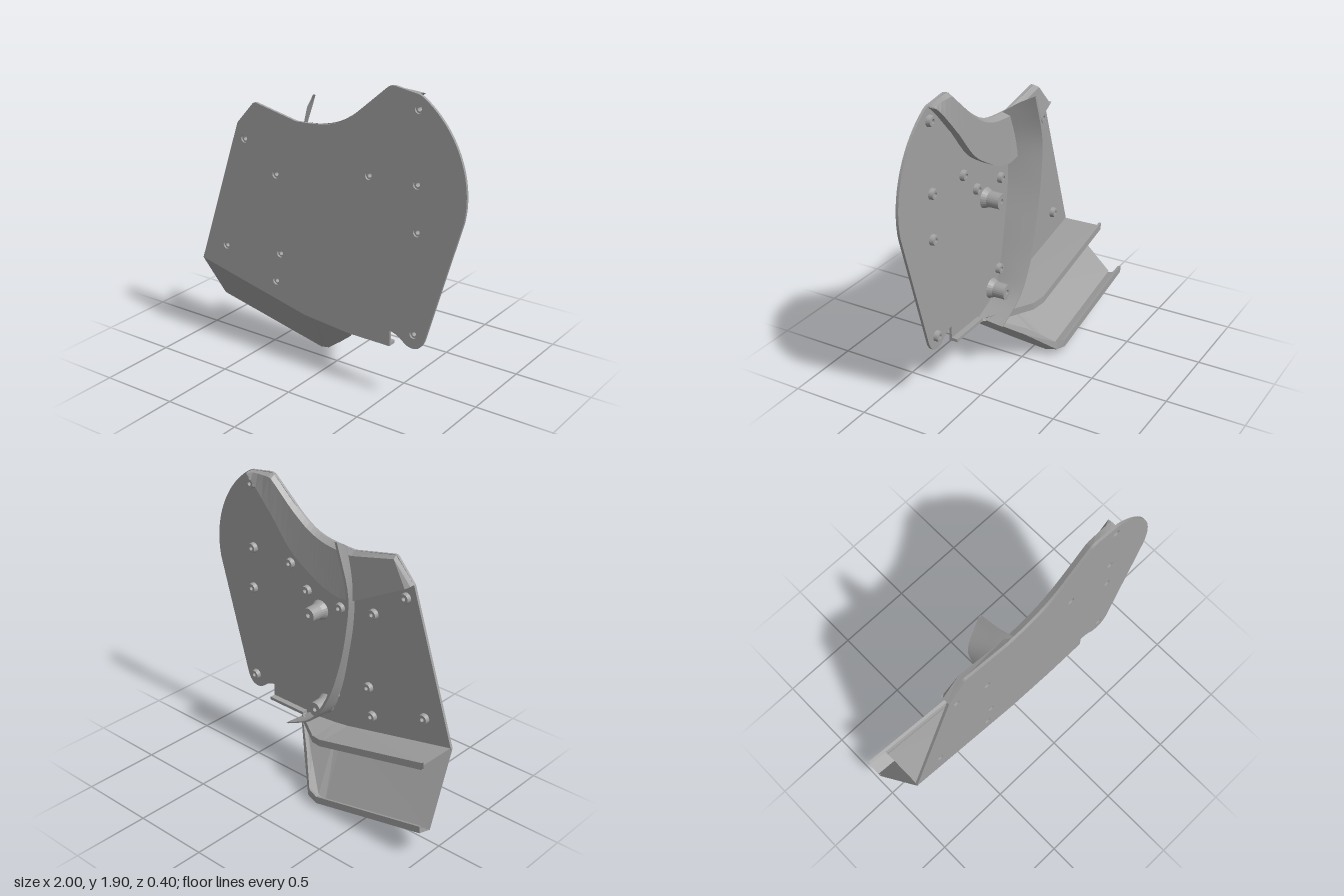
import * as THREE from 'three';

const metal = new THREE.MeshStandardMaterial({ color: 0xa0a0a0, side: THREE.DoubleSide });
metal.name = 'plain grey';

// Sheet lofted through rows of equal length; smooth shares its normals
function sheet(name, rows, smooth = false) {
  const n = rows[0].length, index = [];
  for (let r = 0; r < rows.length - 1; r++) {
    for (let i = 0; i < n - 1; i++) {
      const a = r * n + i, b = a + n;
      index.push(a, b, a + 1, a + 1, b, b + 1);
    }
  }
  let geo = new THREE.BufferGeometry();
  geo.setAttribute('position', new THREE.Float32BufferAttribute(rows.flat(2), 3));
  geo.setIndex(index);
  if (!smooth) geo = geo.toNonIndexed();
  geo.computeVertexNormals();
  const mesh = new THREE.Mesh(geo, metal);
  mesh.name = name;
  return mesh;
}

// Smooth row of points through a few control points
const curveRow = (pts, n = 28) =>
  new THREE.CatmullRomCurve3(pts.map(p => new THREE.Vector3(...p)), false, 'centripetal')
    .getPoints(n).map(v => v.toArray());

const shifted = (row, dx, dy, dz) => row.map(p => [p[0] + dx, p[1] + dy, p[2] + dz]);

// Hollow turned part standing along z
function turned(name, profile, x, y) {
  const geo = new THREE.LatheGeometry(profile.map(p => new THREE.Vector2(...p)), 24);
  geo.rotateX(Math.PI / 2);
  const mesh = new THREE.Mesh(geo.toNonIndexed(), metal);
  mesh.geometry.computeVertexNormals();
  mesh.position.set(x, y, 0);
  mesh.name = name;
  return mesh;
}

const screws = [
  [-0.545, 1.415], [-0.31, 1.235], [-0.715, 0.685], [-0.285, 0.73], [-0.32, 0.54],
  [0.36, 1.36], [0.68, 1.8], [0.68, 1.37], [0.687, 1.09], [0.68, 0.46],
];

function sidePlate() {
  const s = new THREE.Shape();
  s.moveTo(-0.915, 0.555);
  s.lineTo(-0.595, 1.51);
  s.lineTo(-0.475, 1.645);
  s.quadraticCurveTo(-0.46, 1.66, -0.44, 1.653);
  s.lineTo(-0.15, 1.592);
  s.lineTo(-0.08, 1.595);
  s.bezierCurveTo(0.1, 1.605, 0.16, 1.625, 0.28, 1.72);
  s.lineTo(0.48, 1.893);
  s.quadraticCurveTo(0.5, 1.91, 0.53, 1.907);
  s.lineTo(0.68, 1.885);
  s.quadraticCurveTo(0.7, 1.88, 0.72, 1.865);
  s.bezierCurveTo(0.92, 1.73, 1.035, 1.47, 0.985, 1.22);
  s.lineTo(0.76, 0.45);
  s.quadraticCurveTo(0.745, 0.4, 0.71, 0.378);
  s.quadraticCurveTo(0.66, 0.36, 0.62, 0.39);
  s.quadraticCurveTo(0.57, 0.435, 0.52, 0.44);
  s.lineTo(0.52, 0.34);
  s.lineTo(0.23, 0.34);
  s.lineTo(-0.1, 0.37);
  s.closePath();
  for (const [x, y] of screws) s.holes.push(new THREE.Path().absarc(x, y, 0.024, 0, Math.PI * 2, true));
  const geo = new THREE.ExtrudeGeometry(s, { depth: 0.017, bevelEnabled: false, curveSegments: 20 });
  geo.translate(0, 0, 0.183);
  const mesh = new THREE.Mesh(geo, metal);
  mesh.name = 'sidePlate';
  return mesh;
}

export function createModel() {
  const g = new THREE.Group();
  g.name = 'panel';
  g.add(sidePlate());

  // Screw bosses, with two blind ones that do not reach the front
  const boss = [[0.013, 0.188], [0.024, 0.188], [0.024, 0.183], [0.034, 0.183], [0.03, 0.155], [0.013, 0.155], [0.013, 0.188]];
  const blind = [[0, 0.183], [0.034, 0.183], [0.03, 0.155], [0.013, 0.155], [0.013, 0.183]];
  for (const [x, y] of screws) g.add(turned('screwBoss', boss, x, y));
  for (const [x, y] of [[0.22, 1.22], [-0.05, 1.19], [-0.02, 0.585]]) g.add(turned('blindBoss', blind, x, y));

  // Tall mounting posts
  const post = [[0, 0.183], [0.065, 0.183], [0.05, 0.15], [0.048, 0.07], [0.015, 0.07], [0.015, 0.11], [0, 0.11]];
  g.add(turned('post', post, 0.115, 1.12), turned('post', post, 0.06, 0.48));

  // Sloping rim behind the upper edge, with its step down to the plate
  const rimTop = [
    ...curveRow([[0.68, 1.883, 0.184], [0.6, 1.895, 0.184], [0.51, 1.905, 0.184]], 4),
    ...curveRow([[0.49, 1.9, 0.184], [0.3, 1.737, 0.184], [0.17, 1.65, 0.184], [0.05, 1.61, 0.184], [-0.08, 1.595, 0.184]], 16),
    [-0.15, 1.592, 0.184], [-0.46, 1.655, 0.184], [-0.595, 1.51, 0.184],
  ];
  const rimLow = [
    ...curveRow([[0.68, 1.875, 0.13], [0.6, 1.8, 0.13], [0.49, 1.68, 0.13]], 4),
    ...curveRow([[0.47, 1.66, 0.13], [0.31, 1.47, 0.13], [0.16, 1.37, 0.13], [0.04, 1.31, 0.13], [-0.08, 1.28, 0.13]], 16),
    [-0.2, 1.3, 0.13], [-0.57, 1.495, 0.13], [-0.595, 1.51, 0.13],
  ];
  const rimFoot = rimLow.map(([x, y]) => [x, y, 0.184]);
  // narrow upper ledge of the rim
  const rimEdge = rimTop.map((p, i) => [
    p[0] + (rimLow[i][0] - p[0]) * 0.08, p[1] + (rimLow[i][1] - p[1]) * 0.08, 0.15]);
  g.add(sheet('upperRim', [rimTop, rimEdge, rimLow, rimFoot]));

  // Curved blade standing out from the back of the plate
  const bladeRoot = curveRow([[-0.1, 1.6, 0.184], [-0.15, 1.4, 0.184], [-0.155, 1.15, 0.184], [-0.12, 0.9, 0.184],
    [-0.06, 0.62, 0.184], [0.02, 0.44, 0.184], [0.2, 0.35, 0.184]]);
  const bladeMid = curveRow([[-0.145, 1.655, 0.1], [-0.2, 1.4, 0.1], [-0.2, 1.15, 0.1], [-0.16, 0.9, 0.1],
    [-0.08, 0.62, 0.1], [0.02, 0.445, 0.1], [0.21, 0.345, 0.1]]);
  const bladeTip = curveRow([[-0.175, 1.705, 0], [-0.265, 1.4, 0], [-0.25, 1.15, 0], [-0.2, 0.9, 0],
    [-0.1, 0.62, 0], [0.02, 0.45, 0], [0.22, 0.345, 0]]);
  g.add(sheet('blade', [bladeRoot, bladeMid, bladeTip], true));
  g.add(sheet('bladeEdge', [bladeTip, shifted(bladeTip, 0.018, 0, 0)], true));
  g.add(sheet('bladeInner', [shifted(bladeTip, 0.018, 0, 0), shifted(bladeMid, 0.015, 0, 0), shifted(bladeRoot, 0.01, 0, 0)], true));

  // Sloped skirt below the plate
  const skirtTop = [[-0.915, 0.555, 0.2], [-0.1, 0.372, 0.2], [-0.04, 0.365, 0.2], [0.1, 0.352, 0.2], [0.23, 0.34, 0.2]];
  const skirtLow = [[-1, 0.175, -0.1], [-0.2, 0.003, -0.1], [-0.14, 0.013, -0.1], [0.05, 0.165, 0.04], [0.235, 0.32, 0.185]];
  g.add(sheet('skirt', [skirtTop, skirtLow]));
  g.add(sheet('skirtBack', [shifted(skirtTop, 0, 0, -0.02), shifted(skirtLow, 0, 0.012, -0.012)]));

  // Lower lip with a small upturned edge
  const lipOut = [[-1, 0.205, -0.2], [-0.2, 0.033, -0.2], [-0.12, 0.05, -0.185], [0.04, 0.2, -0.045], [0.22, 0.345, 0.12]];
  const lipUp = [[-1, 0.25, -0.2], [-0.2, 0.08, -0.2], [-0.13, 0.095, -0.185], [0.02, 0.235, -0.045], [0.21, 0.36, 0.12]];
  g.add(sheet('lowerLip', [skirtLow, lipOut, lipUp, shifted(lipUp, 0, -0.005, 0.02)]));

  // Ledge under the plate, ending in a narrow rail
  const ledgeIn = [[-0.91, 0.56, 0.19], [-0.12, 0.385, 0.19], [-0.02, 0.37, 0.19], [0.22, 0.345, 0.19]];
  const ledgeOut = [[-0.91, 0.565, -0.07], [-0.12, 0.385, -0.07], [-0.04, 0.37, -0.045], [0.2, 0.348, 0.125]];
  g.add(sheet('ledge', [ledgeIn, ledgeOut]));
  g.add(sheet('rail', [shifted(ledgeOut, 0, -0.025, 0), shifted(ledgeOut, 0, 0.022, 0),
    shifted(ledgeOut, 0, 0.022, -0.015), shifted(ledgeOut, 0, -0.025, -0.015), shifted(ledgeOut, 0, -0.025, 0)]));

  // Folded tab along the bottom edge
  const tab = new THREE.Mesh(new THREE.BoxGeometry(0.29, 0.02, 0.05), metal);
  tab.position.set(0.375, 0.35, 0.17);
  tab.name = 'bottomTab';
  g.add(tab);
  return g;
}
